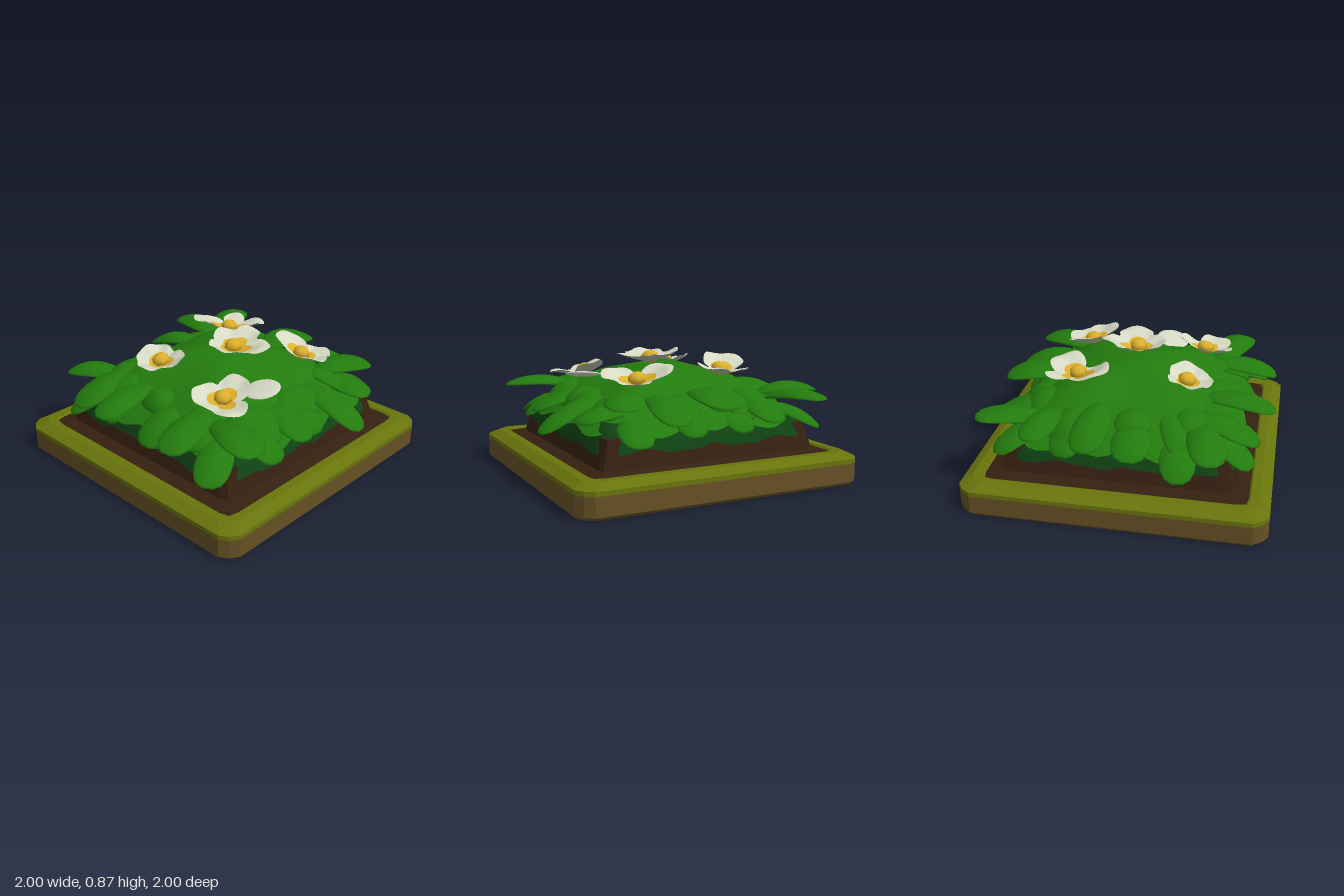
import * as THREE from 'three';
import { mergeVertices } from 'three/addons/utils/BufferGeometryUtils.js';

const paint = (name, color) => {
  const m = new THREE.MeshStandardMaterial({ color });
  m.name = name;
  return m;
};

// Surface from rows (i) and angular columns (v); smooth and welded unless flat
function grid(rows, cols, f, flat = false) {
  const pos = [], index = [];
  for (let i = 0; i <= rows; i++)
    for (let j = 0; j <= cols; j++) pos.push(...f(i, (j % cols) / cols * Math.PI * 2));
  for (let i = 0; i < rows; i++)
    for (let j = 0; j < cols; j++) {
      const a = i * (cols + 1) + j, b = a + cols + 1;
      index.push(a, b, a + 1, b, b + 1, a + 1);
    }
  let g = new THREE.BufferGeometry();
  g.setAttribute('position', new THREE.Float32BufferAttribute(pos, 3));
  g.setIndex(index);
  g = flat ? g.toNonIndexed() : mergeVertices(g);
  g.computeVertexNormals();
  return g;
}

// Square outlines of half width 1: chamfered and softly rounded
function chamfered(v, limit) {
  const c = Math.cos(v), s = -Math.sin(v), a = Math.abs(c), b = Math.abs(s);
  const k = Math.max(a, b, (a + b) / limit);
  return [c / k, s / k];
}
function rounded(v, e) {
  const c = Math.cos(v), s = -Math.sin(v);
  const k = Math.pow(Math.abs(c) ** e + Math.abs(s) ** e, 1 / e);
  return [c / k, s / k];
}

// Height of the leafy mound
function mound(x, z) {
  const r = Math.pow(Math.abs(x) ** 4.5 + Math.abs(z) ** 4.5, 1 / 4.5) / 0.75;
  const lumps = 0.012 * Math.sin(9 * x + 2) * Math.sin(8 * z + 1);
  return 0.44 + 0.32 * (1 - Math.pow(r, 2.2)) + lumps;
}

// Leaves: tip x, tip z, tip y, base x, base z, half width
const upperLeaves = [
  [-0.72, -0.93, 0.57, -0.56, -0.45, 0.13], [-0.04, -0.93, 0.56, -0.02, -0.45, 0.17],
  [0.32, -0.92, 0.48, 0.3, -0.48, 0.13], [0.64, -0.82, 0.58, 0.46, -0.4, 0.14],
  [0.99, -0.28, 0.38, 0.5, -0.22, 0.13], [0.92, 0.7, 0.57, 0.42, 0.53, 0.14],
  [0.43, 0.96, 0.5, 0.35, 0.5, 0.14], [-0.18, 0.98, 0.52, -0.2, 0.5, 0.13],
  [-0.52, 0.9, 0.45, -0.46, 0.42, 0.14], [-0.94, 0.63, 0.5, -0.5, 0.5, 0.13],
  [-0.96, -0.5, 0.57, -0.5, -0.44, 0.12], [-0.9, -0.18, 0.48, -0.45, -0.14, 0.13],
];
const lowerLeaves = [
  [-0.4, -0.89, 0.44, -0.36, -0.45, 0.13], [0.56, -0.88, 0.36, 0.5, -0.5, 0.12],
  [0.84, -0.56, 0.48, 0.45, -0.48, 0.13], [0.89, 0.17, 0.45, 0.45, 0.12, 0.13],
  [0.86, 0.42, 0.38, 0.45, 0.38, 0.13], [0.7, 0.88, 0.34, 0.48, 0.5, 0.13],
  [0.13, 0.87, 0.39, 0.12, 0.45, 0.15], [-0.66, 0.86, 0.34, -0.45, 0.5, 0.12],
  [-0.89, 0.42, 0.32, -0.45, 0.36, 0.13], [-0.86, 0.1, 0.42, -0.45, 0.1, 0.14],
  [-0.8, -0.78, 0.36, -0.48, -0.48, 0.12], [-0.33, 0.81, 0.37, -0.3, 0.5, 0.12],
  [0.29, 0.81, 0.39, 0.27, 0.5, 0.12], [0.81, -0.04, 0.38, 0.5, -0.04, 0.13],
  [-0.81, -0.34, 0.38, -0.5, -0.3, 0.12], [-0.2, -0.82, 0.38, -0.18, -0.5, 0.12],
  [0.15, -0.82, 0.38, 0.14, -0.5, 0.12],
];

// Paddle leaf, broader towards the tip and arched along its length
function leaf(tip, base, width, material) {
  const a = new THREE.Vector3(...base), b = new THREE.Vector3(...tip);
  const half = a.distanceTo(b) / 2;
  const g = new THREE.SphereGeometry(1, 18, 12), p = g.attributes.position;
  for (let i = 0; i < p.count; i++) {
    const x = p.getX(i), y = p.getY(i), z = p.getZ(i);
    const full = Math.pow(Math.max(1 - z * z, 0.05), -0.12);
    p.setXYZ(i, x * full * width * (0.9 + 0.18 * z),
      y * 0.026 + 0.05 * (1 - z * z) - 0.025 * x * x, z * half);
  }
  g.computeVertexNormals();
  const m = new THREE.Mesh(g, material);
  m.name = 'leaf';
  m.position.copy(a).add(b).multiplyScalar(0.5);
  m.lookAt(b);
  return m;
}

// Flowers: centre x, z, and round petals given as offset x, offset z, radius
const flowers = [
  { at: [-0.28, -0.34], petals: [[0.1, -0.09, 0.12], [-0.08, 0.1, 0.14], [-0.07, -0.12, 0.08]] },
  { at: [0.36, -0.39], petals: [[-0.12, -0.02, 0.12], [0.09, 0.05, 0.13], [0.05, -0.06, 0.12]] },
  { at: [0.08, 0], petals: [[-0.02, -0.16, 0.09], [0.14, -0.04, 0.12], [0.01, 0.05, 0.14], [-0.09, -0.04, 0.1]] },
  { at: [0.4, 0.43], petals: [[0, -0.09, 0.11], [-0.04, 0.06, 0.13], [0.12, 0.06, 0.11]] },
  { at: [-0.23, 0.38], petals: [[-0.05, 0, 0.13], [0.06, -0.01, 0.12], [0, 0.04, 0.13]] },
];

function petalRadius(petals, c, s) {
  let r = 0.08;
  for (const [x, z, rad] of petals) {
    const along = x * c + z * s, off = rad * rad - (x * x + z * z - along * along);
    if (off > 0) r = Math.max(r, along + Math.sqrt(off));
  }
  return r;
}

export function createModel() {
  const green = paint('leafGreen', 0x237c0e), darkGreen = paint('shadeGreen', 0x104413);
  const moss = paint('moss', 0x68740c), brown = paint('earthBrown', 0x655024);
  const soil = paint('darkSoil', 0x352010), white = paint('petalWhite', 0xd6dac4);
  const paleGreen = paint('petalBack', 0xb2c2aa), yellow = paint('pollenYellow', 0xdcb02c);

  const model = new THREE.Group();
  const add = (name, geometry, material, parent = model) => {
    const m = new THREE.Mesh(geometry, material);
    m.name = name;
    parent.add(m);
    return m;
  };

  // Square plot, each layer lofted from half width and height, inside to outside
  const layer = (name, profile, material) =>
    add(name, grid(profile.length - 1, 128, (i, v) => {
      const [h, y] = profile[i], [x, z] = chamfered(v, h < 0.9 ? 1.965 : 1.925);
      return [x * h, y, z * h];
    }, true), material);
  layer('soilBed', [[0, 0.4], [0.72, 0.4], [0.735, 0.34], [0.77, 0.22], [0.87, 0.198]], soil);
  layer('mossRim', [[0.855, 0.195], [0.87, 0.212], [0.93, 0.212], [1, 0.175], [1, 0.145]], moss);
  layer('plotBase', [[1, 0.145], [1, 0.02], [0.985, 0], [0, 0]], brown);

  // Shaded undergrowth with a wavy lower edge
  add('undergrowth', grid(4, 96, (i, v) => {
    const [x, z] = rounded(v, 11), t = i / 4, h = 0.67 + 0.09 * Math.sqrt(t);
    return [x * h, 0.48 - t * (0.17 + 0.015 * Math.sin(v * 11) + 0.008 * Math.sin(v * 23)), z * h];
  }), darkGreen);

  // Leafy mound
  add('leafMound', grid(22, 96, (i, v) => {
    const [x, z] = rounded(v, 5), h = 0.77 * i / 22 * (1 + 0.025 * Math.sin(v * 13) * i / 22);
    return [x * h, mound(x * h, z * h), z * h];
  }), green);

  // Outer leaves in two tiers, and short leaves lying on the shoulder of the mound
  const leaves = new THREE.Group();
  leaves.name = 'leaves';
  model.add(leaves);
  const place = (list, drop) => {
    for (const [x, z, y, bx, bz, w] of list)
      leaves.add(leaf([x, y, z], [bx, mound(bx, bz) - drop, bz], w, green));
  };
  place(upperLeaves, 0.04);
  place(lowerLeaves, 0.1);
  for (let k = 0; k < 16; k++) {
    const [x, z] = rounded(k / 16 * Math.PI * 2 + 0.2 * Math.sin(k * 5), 5);
    const r = 0.72 + 0.04 * Math.sin(k * 3), b = 0.46;
    leaves.add(leaf([x * r, mound(x * r, z * r) + 0.01, z * r],
      [x * b, mound(x * b, z * b) - 0.05, z * b], 0.13, green));
  }

  // Cupped flowers leaning partly with the slope of the mound
  const up = new THREE.Vector3(0, 1, 0), lean = 0.55, e = 0.12;
  for (const { at: [x, z], petals } of flowers) {
    const flower = new THREE.Group();
    flower.name = 'flower';
    const slope = new THREE.Vector3(
      lean * (mound(x - e, z) - mound(x + e, z)) / (2 * e), 1,
      lean * (mound(x, z - e) - mound(x, z + e)) / (2 * e));
    flower.quaternion.setFromUnitVectors(up, slope.normalize());
    flower.position.set(x, mound(x, z) + 0.016, z);
    const cup = (from, to, rows, drop, dir) => grid(rows, 60, (i, v) => {
      const c = Math.cos(v * dir), s = -Math.sin(v * dir);
      const t = from + (to - from) * i / rows, r = petalRadius(petals, c, s) * t;
      const ripple = 0.008 * t * t * Math.sin(v * dir * 7);
      return [c * r, 0.06 * Math.pow(Math.min(r / 0.18, 1.15), 1.5) + ripple - drop, s * r];
    });
    add('flowerHeart', cup(0, 0.52, 5, 0, 1), yellow, flower);
    add('petals', cup(0.52, 1, 6, 0, 1), white, flower);
    add('petalBacks', cup(0, 1, 10, 0.008, -1), paleGreen, flower);
    const stamen = add('stamen', new THREE.SphereGeometry(0.062, 7, 5), yellow, flower);
    stamen.scale.y = 0.75;
    stamen.position.y = 0.026;
    model.add(flower);
  }

  // Loose petal beside the front flower
  const loose = add('loosePetal', new THREE.SphereGeometry(0.125, 20, 10), white);
  loose.scale.set(1, 0.12, 0.95);
  loose.position.set(0.51, 0.685, 0.18);
  loose.rotation.set(0.2, 0, 0.1);
  return model;
}
